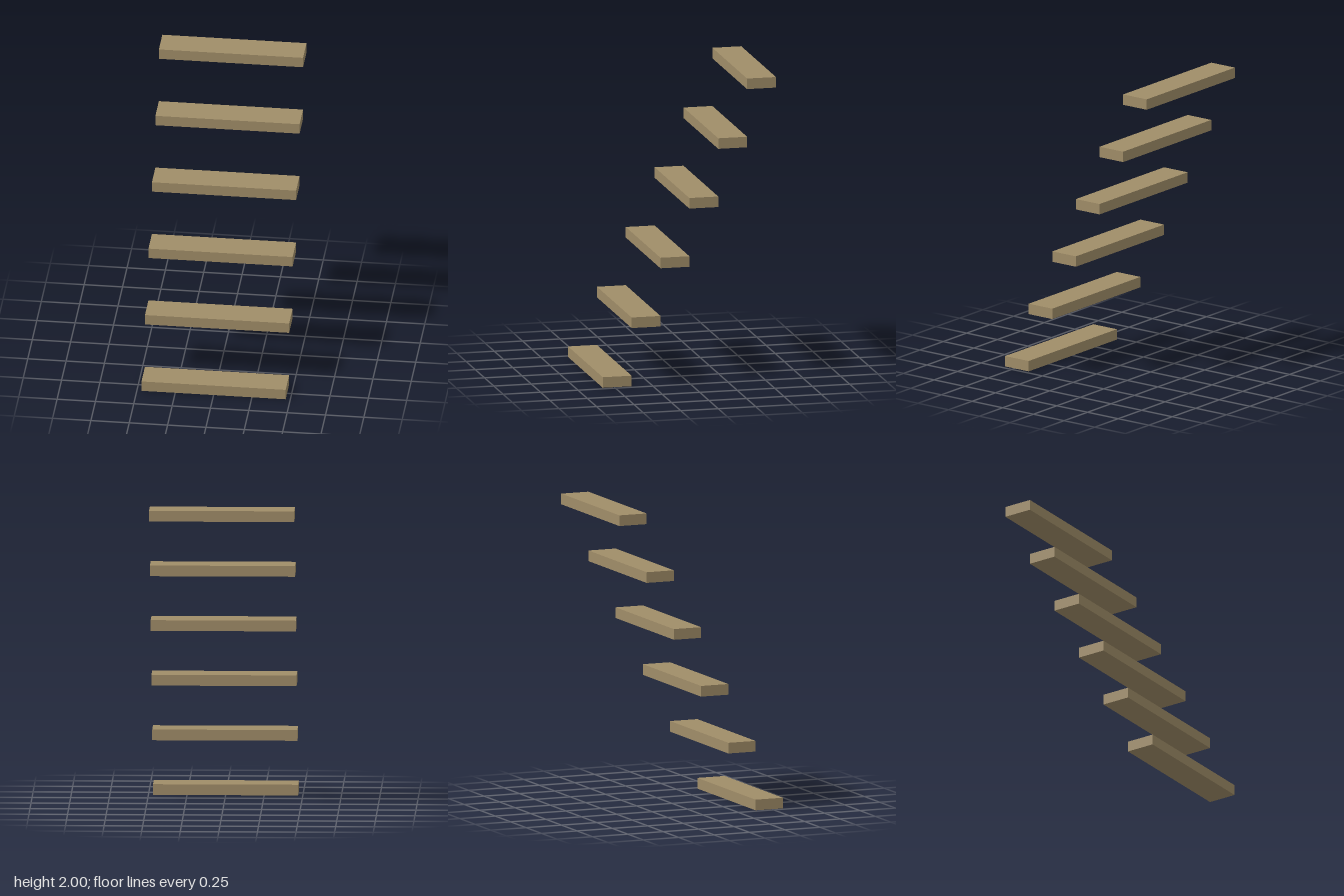
import * as THREE from 'three';

const STEPS = 6;
const WIDTH = 0.94, THICK = 0.07, DEPTH = 0.1925;
const RISE = (2 - THICK) / (STEPS - 1);

export function createModel() {
  const model = new THREE.Group();
  model.name = 'floatingStairs';

  const wood = new THREE.MeshStandardMaterial({ color: 0xa08d68 });
  wood.name = 'wood';

  // Plank treads, climbing from front to back
  const plank = new THREE.BoxGeometry(WIDTH, THICK, DEPTH);
  for (let i = 0; i < STEPS; i++) {
    const tread = new THREE.Mesh(plank, wood);
    tread.name = `tread${i + 1}`;
    tread.position.set(0, THICK / 2 + i * RISE, ((STEPS - 1) / 2 - i) * DEPTH);
    model.add(tread);
  }
  return model;
}
